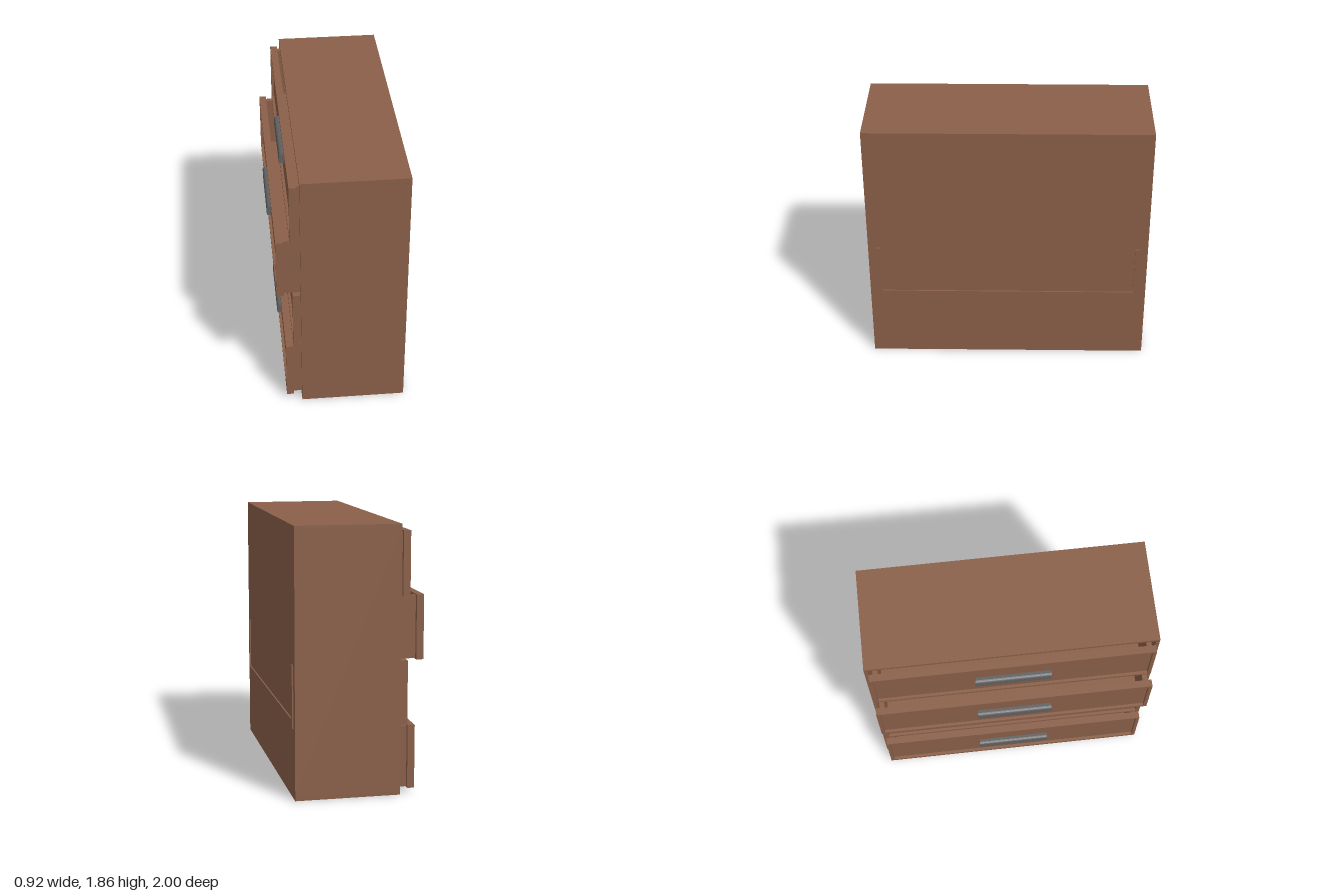
import * as THREE from 'three';

const wood = new THREE.MeshStandardMaterial({ color: 0x8a5f48 });
wood.name = 'brown wood';
const metal = new THREE.MeshStandardMaterial({ color: 0x606060 });
metal.name = 'grey metal';

// Box given by its lower and upper corners
function box(parent, name, [x0, y0, z0], [x1, y1, z1]) {
  const mesh = new THREE.Mesh(new THREE.BoxGeometry(x1 - x0, y1 - y0, z1 - z0), wood);
  mesh.position.set((x0 + x1) / 2, (y0 + y1) / 2, (z0 + z1) / 2);
  mesh.name = name;
  parent.add(mesh);
}

// Long pull with a rounded upper outer edge
function makeHandle() {
  const s = new THREE.Shape();
  s.moveTo(0.02, 0);
  s.lineTo(0.02, 0.07);
  s.lineTo(0, 0.07);
  s.quadraticCurveTo(-0.02, 0.067, -0.02, 0.05);
  s.lineTo(-0.02, 0);
  s.closePath();
  const geo = new THREE.ExtrudeGeometry(s, { depth: 0.525, bevelEnabled: false, curveSegments: 5 });
  geo.translate(0, 0, -0.2625);
  const mesh = new THREE.Mesh(geo, metal);
  mesh.name = 'handle';
  return mesh;
}

// Drawer with its front face at x = 0 and its lower edge at y = 0, facing -x
function makeDrawer() {
  const g = new THREE.Group();
  const H = 0.445, Z = 0.972, rim = 0.025, recess = 0.02, T = 0.05;

  // front: sunken panel inside a narrow frame
  box(g, 'frontPanel', [recess, 0, -Z], [T, H, Z]);
  box(g, 'frameBottom', [0, 0, -Z], [recess, rim, Z]);
  box(g, 'frameTop', [0, H - rim, -Z], [recess, H, Z]);
  for (const s of [-1, 1]) {
    const a = s * Z, b = s * (Z - rim);
    box(g, 'frameSide', [0, rim, Math.min(a, b)], [recess, H - rim, Math.max(a, b)]);
  }

  // open tray behind the front
  const D = 0.795, B = 0.945, wall = 0.035, y0 = 0.005, y1 = 0.438;
  box(g, 'trayBottom', [T, y0, -B], [D, y0 + 0.06, B]);
  box(g, 'traySide', [T, y0 + 0.06, -B], [D, y1, -B + wall]);
  box(g, 'traySide', [T, y0 + 0.06, B - wall], [D, y1, B]);
  box(g, 'trayBack', [D - 0.05, y0 + 0.06, -B + wall], [D - 0.02, y1, B - wall]);

  const handle = makeHandle();
  handle.position.y = 0.182;
  g.add(handle);
  return g;
}

export function createModel() {
  const model = new THREE.Group();
  model.name = 'chestOfDrawers';

  // cabinet shell, open towards -x
  const cabinet = new THREE.Group();
  cabinet.name = 'cabinet';
  const X0 = -0.28, X1 = 0.45, H = 1.86, w = 0.025;
  box(cabinet, 'base', [X0, 0, -1], [X1, w, 1]);
  box(cabinet, 'top', [X0, H - w, -1], [X1, H, 1]);
  box(cabinet, 'side', [X0, w, -1], [X1, H - w, -1 + w]);
  box(cabinet, 'side', [X0, w, 1 - w], [X1, H - w, 1]);
  box(cabinet, 'back', [X1 - w, w, -1 + w], [X1, H - w, 1 - w]);
  model.add(cabinet);

  // four drawers, pulled out by different amounts
  [[-0.388, 0.035], [-0.335, 0.485], [-0.443, 0.935], [-0.348, 1.368]].forEach(([x, y], i) => {
    const drawer = makeDrawer();
    drawer.name = 'drawer' + (i + 1);
    drawer.position.set(x, y, 0);
    model.add(drawer);
  });
  return model;
}
